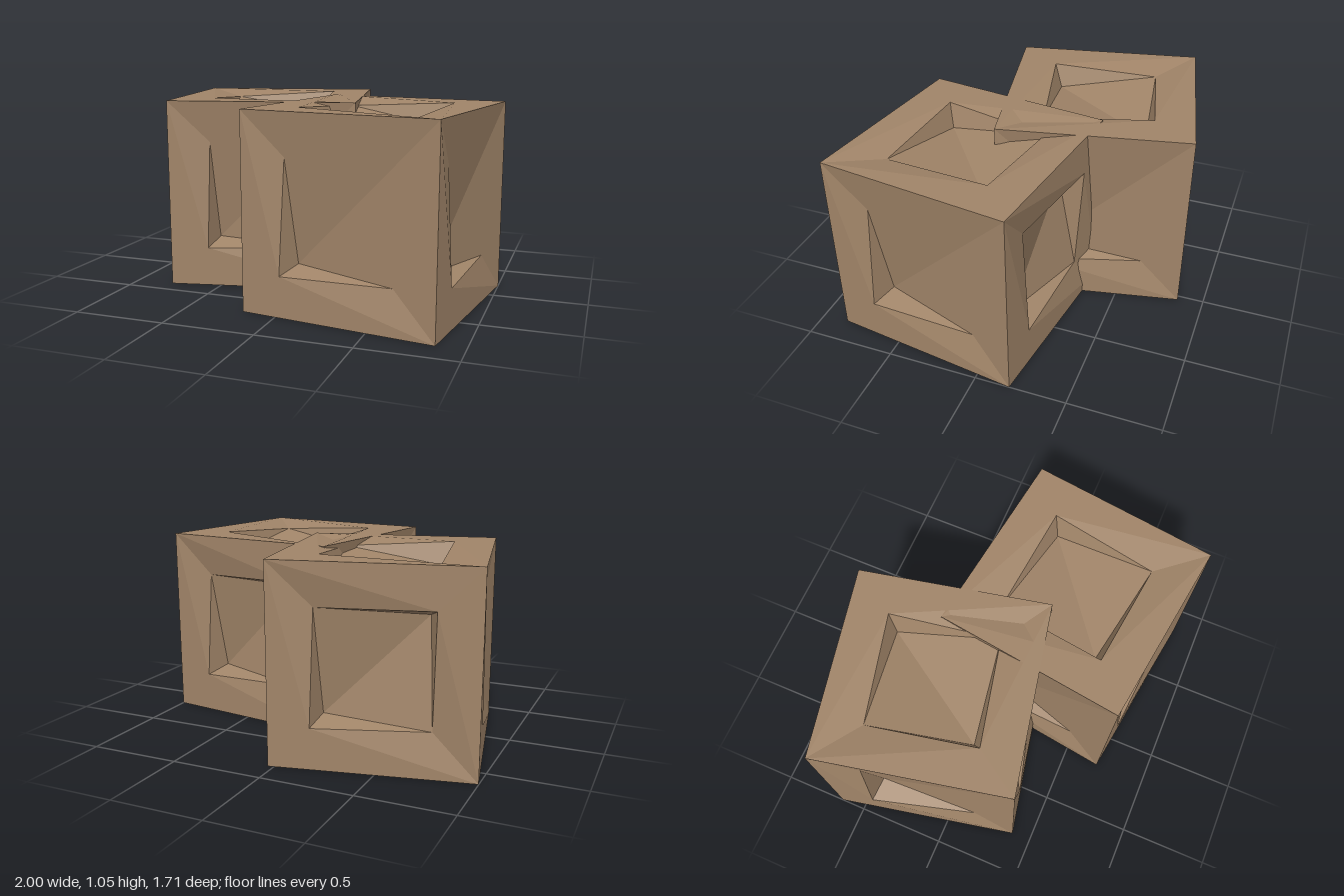
import * as THREE from 'three';
import { mergeGeometries } from 'three/addons/utils/BufferGeometryUtils.js';

const HALF = 0.527;   // half the crate's edge
const RIM = 0.309;    // rim corners of the panel that stay level with the frame
const SAG = 0.295;    // rim corners that dip slightly
const SAG_DEPTH = 0.038;
const PIT = 0.267;    // sunken panel corners
const PIT_DEPTH = 0.13;

// One side facing +z: a folded frame around a creased panel with one or two sunken corners.
function panelSide(bothCorners) {
  const at = (u, v, size, depth = 0) => [u * size, v * size, HALF - depth];
  const [obl, obr, otr, otl] = [[-1, -1], [1, -1], [1, 1], [-1, 1]].map(([u, v]) => at(u, v, HALF));
  const bl = at(-1, -1, RIM);
  const tr = at(1, 1, RIM);
  const tl = at(-1, 1, SAG, SAG_DEPTH);
  const br = at(1, -1, SAG, SAG_DEPTH);
  const low = at(-1, -1, PIT, PIT_DEPTH);
  const high = bothCorners ? at(1, 1, PIT, PIT_DEPTH) : otr;

  const tris = [
    // left and bottom frame
    otl, obl, bl, otl, bl, tl,
    obl, obr, bl, bl, obr, br,
    // walls at the lower sunken corner
    tl, bl, low, bl, br, low,
    // panel, creased along its diagonal
    tl, low, high, low, br, high,
  ];
  if (bothCorners) {
    // right and top frame, walls at the upper sunken corner
    tris.push(obr, otr, tr, obr, tr, br, otr, otl, tr, tr, otl, tl);
    tris.push(br, tr, high, tr, tl, high);
  } else {
    // the panel runs straight out to the crate's corner
    tris.push(obr, otr, br, otr, otl, tl);
  }

  const g = new THREE.BufferGeometry();
  g.setAttribute('position', new THREE.Float32BufferAttribute(tris.flat(), 3));
  return g;
}

function crateGeometry() {
  const sides = [0, 1, 2, 3].map((i) => panelSide(i === 2).rotateY((i * Math.PI) / 2));
  const top = panelSide(true).rotateX(-Math.PI / 2);
  // plain underside
  const bottom = new THREE.PlaneGeometry(HALF * 2, HALF * 2).toNonIndexed();
  bottom.deleteAttribute('uv').deleteAttribute('normal');
  bottom.translate(0, 0, HALF).rotateX(Math.PI / 2);
  const all = mergeGeometries([...sides, top, bottom]);
  all.computeVertexNormals();
  return all.translate(0, HALF, 0);
}

export function createModel() {
  const group = new THREE.Group();
  group.name = 'crates';
  const geometry = crateGeometry();
  const material = new THREE.MeshStandardMaterial({ color: 0xa08468, flatShading: true });

  // two equal crates, turned and pushed into each other
  for (const [name, x, z, turn] of [
    ['rearCrate', -0.375, -0.233, 0.207],
    ['frontCrate', 0.405, 0.258, -0.139],
  ]) {
    const crate = new THREE.Mesh(geometry, material);
    crate.name = name;
    crate.position.set(x, 0, z);
    crate.rotation.y = turn;
    group.add(crate);
  }
  return group;
}
